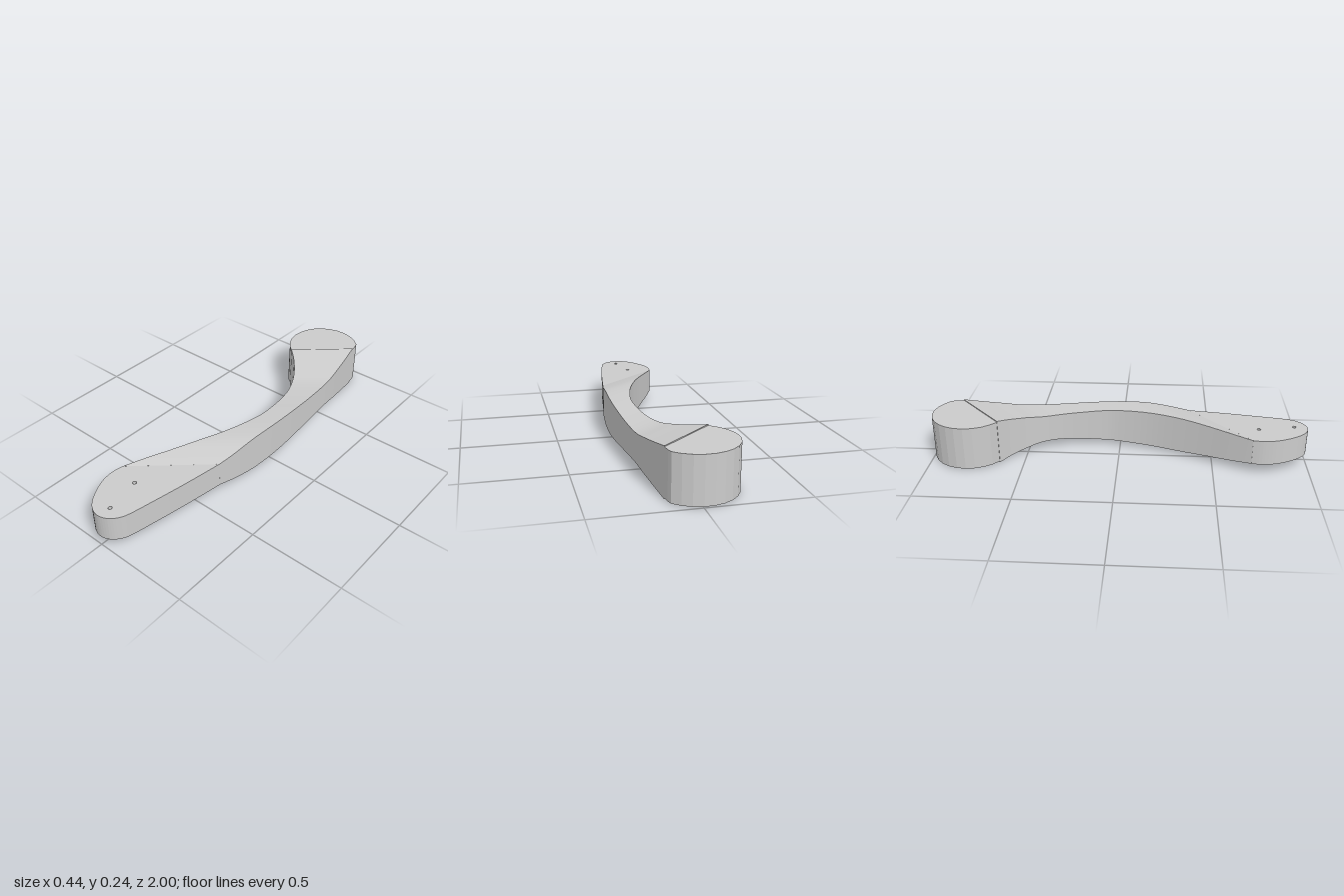
import * as THREE from 'three';

const MID = 0.121; // height of the horizontal plane of symmetry
const SKEW = 0.9; // cross-sections run diagonally: z + SKEW * x is constant
const START = -0.747, END = 0.55;

const spline = (pts) => new THREE.SplineCurve(pts.map(([x, y]) => new THREE.Vector2(x, y)));

// Plan curves of the arm as [x, z], from back to front
const inner = spline([[-0.13, -0.63], [-0.06, -0.562], [0.02, -0.45], [0.08, -0.3], [0.108, -0.1],
  [0.1, 0.03], [0.06, 0.2], [-0.02, 0.4], [-0.12, 0.605], [-0.163, 0.697]]);
const outer = spline([[0.14, -0.873], [0.165, -0.73], [0.19, -0.55], [0.213, -0.25], [0.22, 0],
  [0.207, 0.25], [0.189, 0.38]]);
// Half thickness as [position, half thickness]
const thickness = spline([[START, 0.121], [-0.6, 0.101], [-0.5, 0.089], [-0.4, 0.077], [-0.3, 0.074],
  [-0.15, 0.079], [0, 0.088], [0.15, 0.096], [0.25, 0.099], [0.35, 0.097], [0.45, 0.084], [END, 0.067]]);

// Point of a curve at which measure(point) reaches s
function pointAt(curve, s, measure) {
  let lo = 0, hi = 1;
  for (let i = 0; i < 30; i++) {
    const t = (lo + hi) / 2;
    if (measure(curve.getPoint(t)) < s) lo = t; else hi = t;
  }
  return curve.getPoint((lo + hi) / 2);
}

// Arm: loft of skewed rectangles with smooth faces and sharp long edges
function armGeometry(rows = 64) {
  const skewed = (p) => p.y + SKEW * p.x;
  const sections = [];
  for (let i = 0; i <= rows; i++) {
    const s = START + (END - START) * i / rows;
    const a = pointAt(inner, s, skewed), b = pointAt(outer, s, skewed);
    const h = pointAt(thickness, s, (p) => p.x).y;
    sections.push([[a.x, MID + h, a.y], [b.x, MID + h, b.y], [b.x, MID - h, b.y], [a.x, MID - h, a.y]]);
  }
  const pos = [], index = [];
  for (let k = 0; k < 4; k++) {
    const base = pos.length / 3;
    sections.forEach((c) => pos.push(...c[k], ...c[(k + 1) % 4]));
    for (let i = 0; i < rows; i++) {
      const a = base + 2 * i;
      index.push(a, a + 2, a + 3, a, a + 3, a + 1);
    }
  }
  // end caps
  for (const c of [sections[0], [...sections[rows]].reverse()]) {
    const a = pos.length / 3;
    pos.push(...c.flat());
    index.push(a, a + 1, a + 2, a, a + 2, a + 3);
  }
  const g = new THREE.BufferGeometry();
  g.setAttribute('position', new THREE.Float32BufferAttribute(pos, 3));
  g.setIndex(index);
  g.computeVertexNormals();
  return g;
}

// Flat pad extruded upward from a plan outline of [x, z] points
function padGeometry(outline, half, holes = []) {
  const shape = new THREE.Shape(outline.map(([x, z]) => new THREE.Vector2(x, -z)));
  for (const [x, z] of holes) {
    shape.holes.push(new THREE.Path().absarc(x, -z, 0.01, 0, Math.PI * 2, true));
  }
  return new THREE.ExtrudeGeometry(shape, { depth: 2 * half, bevelEnabled: false, curveSegments: 6 })
    .rotateX(-Math.PI / 2).translate(0, MID - half, 0);
}

export function createModel() {
  const group = new THREE.Group();
  const material = new THREE.MeshStandardMaterial({ color: 0xcccccc });
  const add = (name, geometry) => {
    const mesh = new THREE.Mesh(geometry, material);
    mesh.name = name;
    group.add(mesh);
  };

  add('arm', armGeometry());

  // Round back pad, slightly lower than the crest of the arm
  const back = [[-0.13, -0.63]];
  const from = 2.14, to = 5.53;
  for (let i = 0; i <= 14; i++) {
    const a = from + (to - from) * i / 14;
    back.push([-0.02 + 0.2 * Math.cos(a), -0.8 + 0.2 * Math.sin(a)]);
  }
  back.push([0.134, -0.91], [0.14, -0.873]);
  add('backPad', padGeometry(back, 0.116));

  // Tapered front pad with two small through holes
  const front = spline([[-0.163, 0.697], [-0.17, 0.75], [-0.16, 0.82], [-0.13, 0.89], [-0.09, 0.95],
    [-0.05, 0.985], [0, 1], [0.05, 0.985], [0.085, 0.95], [0.106, 0.9], [0.13, 0.77], [0.16, 0.59], [0.189, 0.38]]);
  add('frontPad', padGeometry(front.getPoints(48).map((p) => [p.x, p.y]), 0.067, [[-0.03, 0.74], [0.01, 0.93]]));

  return group;
}
